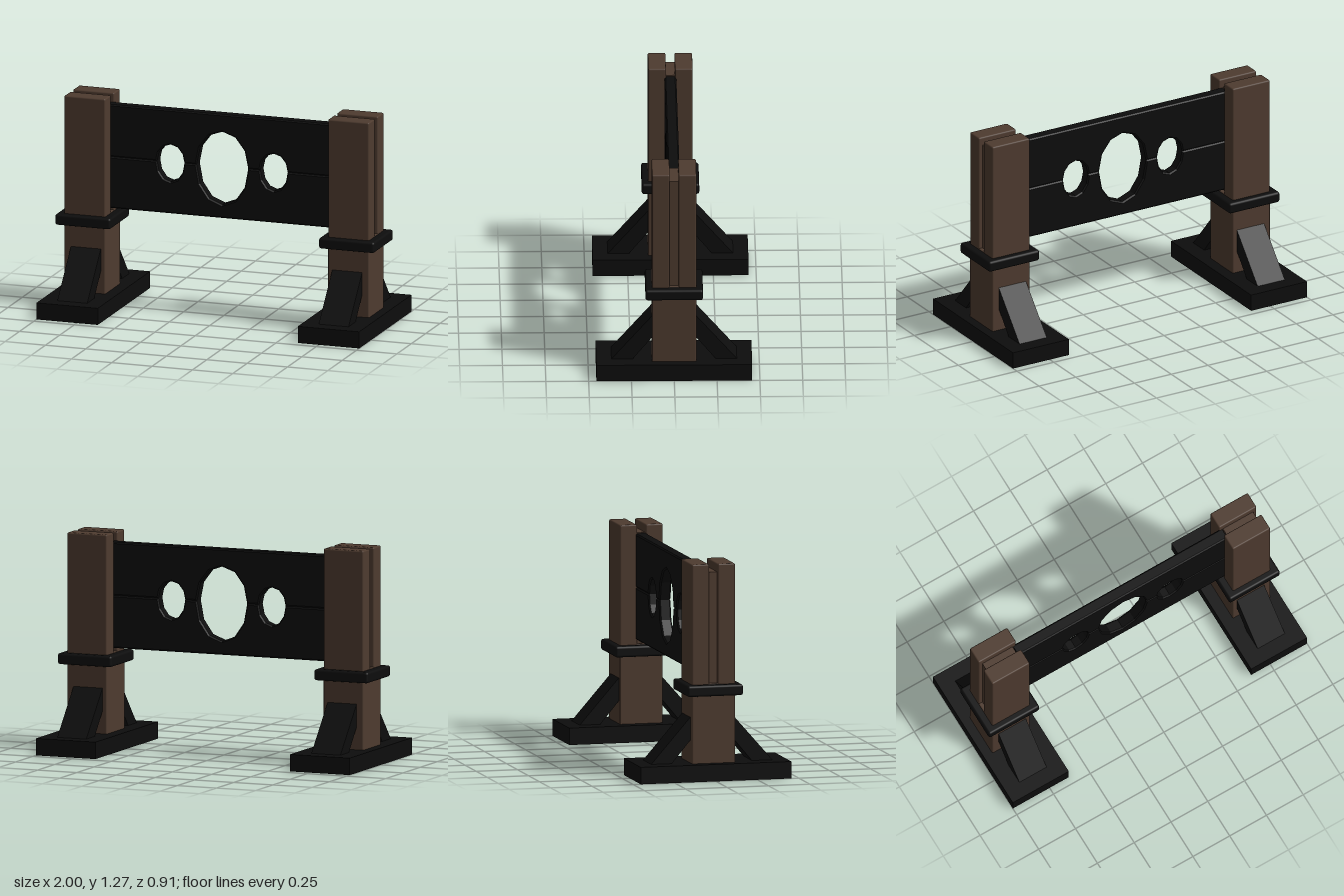
import * as THREE from 'three';
import { RoundedBoxGeometry } from 'three/addons/geometries/RoundedBoxGeometry.js';

const wood = new THREE.MeshStandardMaterial({ color: 0x4e3b2f });
const dark = new THREE.MeshStandardMaterial({ color: 0x0d0d0d });

// Box given by its limits on each axis, with optionally softened edges
function box(name, material, [x0, x1], [y0, y1], [z0, z1], radius = 0) {
  const size = [x1 - x0, y1 - y0, z1 - z0];
  const geometry = radius
    ? new RoundedBoxGeometry(...size, 2, radius)
    : new THREE.BoxGeometry(...size);
  const mesh = new THREE.Mesh(geometry, material);
  mesh.name = name;
  mesh.position.set((x0 + x1) / 2, (y0 + y1) / 2, (z0 + z1) / 2);
  return mesh;
}

// Sloping brace: a side profile extruded across the post's width
function brace(name, side) {
  const profile = new THREE.Shape([
    [0.375, 0.09], [0.12, 0.381], [0.12, 0.246], [0.25, 0.09],
  ].map(([z, y]) => new THREE.Vector2(z * side, y)));
  const geometry = new THREE.ExtrudeGeometry(profile, { depth: 0.185, bevelEnabled: false });
  geometry.translate(0, 0, -0.0925).rotateY(-Math.PI / 2);
  const mesh = new THREE.Mesh(geometry, dark);
  mesh.name = name;
  return mesh;
}

// Half of the board, with half-oval notches along the seam
function plank(name, dir, edge, neckHeight, wristHeight) {
  const seam = 0.905, half = 0.71;
  const points = [new THREE.Vector2(-half, edge), new THREE.Vector2(-half, seam)];
  const holes = [[-0.32, 0.085, wristHeight], [0, 0.16, neckHeight], [0.32, 0.085, wristHeight]];
  for (const [cx, rx, ry] of holes) {
    for (let i = 0; i <= 6; i++) {
      const a = Math.PI * (1 - i / 6);
      points.push(new THREE.Vector2(cx + rx * Math.cos(a), seam + dir * ry * Math.sin(a)));
    }
  }
  points.push(new THREE.Vector2(half, seam), new THREE.Vector2(half, edge));
  const bevel = 0.008, thickness = 0.07;
  const geometry = new THREE.ExtrudeGeometry(new THREE.Shape(points), {
    depth: thickness - 2 * bevel, bevelThickness: bevel,
    bevelSize: bevel, bevelOffset: -bevel, bevelSegments: 1,
  });
  geometry.translate(0, 0, bevel - thickness / 2);
  const mesh = new THREE.Mesh(geometry, dark);
  mesh.name = name;
  return mesh;
}

// Foot, braces, collar and slotted post
function createStand(name, side) {
  const stand = new THREE.Group();
  stand.name = name;
  stand.position.x = side * 0.81;
  const postX = side > 0 ? [-0.12, 0.135] : [-0.135, 0.12];
  const webX = [postX[0] + 0.025, postX[1] - 0.025];
  stand.add(
    box('foot', dark, [-0.19, 0.19], [0, 0.1], [-0.455, 0.455]),
    box('lowerPost', wood, postX, [0.09, 0.57], [-0.13, 0.13], 0.008),
    box('frontPostHalf', wood, postX, [0.52, 1.275], [0.026, 0.13], 0.009),
    box('backPostHalf', wood, postX, [0.52, 1.275], [-0.13, -0.026], 0.009),
    box('postWeb', wood, webX, [0.52, 1.225], [-0.035, 0.035]),
    box('collar', dark, [side * 0.0075 - 0.172, side * 0.0075 + 0.172], [0.5, 0.565], [-0.168, 0.168], 0.014),
    brace('frontBrace', 1),
    brace('backBrace', -1),
  );
  return stand;
}

export function createModel() {
  const model = new THREE.Group();
  model.name = 'pillory';
  model.add(
    createStand('leftStand', 1),
    createStand('rightStand', -1),
    plank('upperPlank', 1, 1.22, 0.21, 0.105),
    plank('lowerPlank', -1, 0.595, 0.23, 0.12),
  );
  return model;
}
